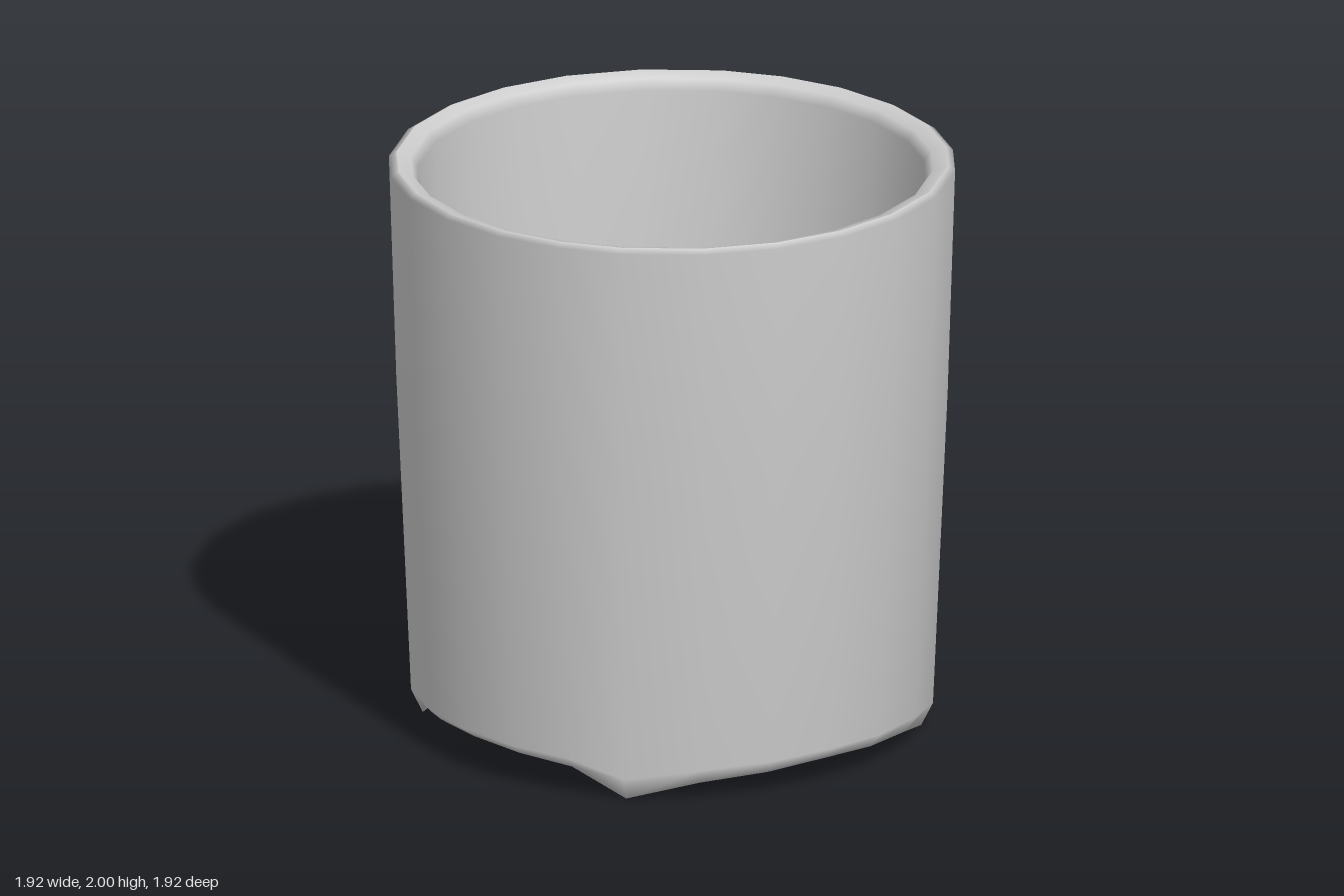
import * as THREE from 'three';

// Lower edge from the front to the side: [angle in degrees, height]; the foot is the low point
const HEM = [[0, 0.115], [15, 0.108], [29, 0.095], [42, 0], [59, 0.06], [75, 0.078], [90, 0.09]];

// Mirror the quarter front to back, then left to right, for a full turn
const half = [...HEM, ...HEM.slice(0, -1).reverse().map(([a, y]) => [180 - a, y])];
const turn = [...half, ...half.slice(1, -1).reverse().map(([a, y]) => [360 - a, y])];
const columns = turn.map(([degrees, hem]) => {
  const a = THREE.MathUtils.degToRad(degrees);
  return { sin: Math.sin(a), cos: Math.cos(a), hem };
});

// Smooth surface through rings; each ring is [radius, height, hem influence]
function loft(rings) {
  const positions = [], indices = [], n = columns.length;
  for (const [radius, height, influence] of rings) {
    for (const { sin, cos, hem } of columns) {
      positions.push(radius * sin, height + influence * hem, radius * cos);
    }
  }
  for (let r = 0; r < rings.length - 1; r++) {
    for (let i = 0; i < n; i++) {
      const a = r * n + i, b = r * n + (i + 1) % n;
      indices.push(a, a + n, b, b, a + n, b + n);
    }
  }
  const geometry = new THREE.BufferGeometry();
  geometry.setAttribute('position', new THREE.Float32BufferAttribute(positions, 3));
  geometry.setIndex(indices);
  geometry.computeVertexNormals();
  return geometry;
}

export function createModel() {
  const group = new THREE.Group();
  const grey = new THREE.MeshStandardMaterial({ color: 0xcccccc });
  grey.name = 'plain grey';

  const add = (name, geometry) => {
    const mesh = new THREE.Mesh(geometry, grey);
    mesh.name = name;
    group.add(mesh);
  };

  // Tapered outer wall with the feet and the inside of the base ring
  add('outerWallAndFeet', loft([
    [0.935, 2.0, 0],
    [0.96, 1.985, 0],
    [0.935, 1.2, 0],
    [0.885, 0.08, 0.6],
    [0.845, 0, 1],
    [0.81, 0.03, 1],
    [0.785, 0.19, 0],
  ]));

  // Floor, inner wall and rounded lip, from the middle outwards
  add('interiorAndLip', loft([
    [0.001, 0.24, 0],
    [0.4, 0.25, 0],
    [0.7, 0.28, 0],
    [0.77, 0.35, 0],
    [0.82, 1.2, 0],
    [0.86, 1.95, 0],
    [0.885, 1.985, 0],
    [0.935, 2.0, 0],
  ]));

  // Recessed flat underside
  add('underside', loft([[0.785, 0.19, 0], [0.001, 0.19, 0]]));

  return group;
}
